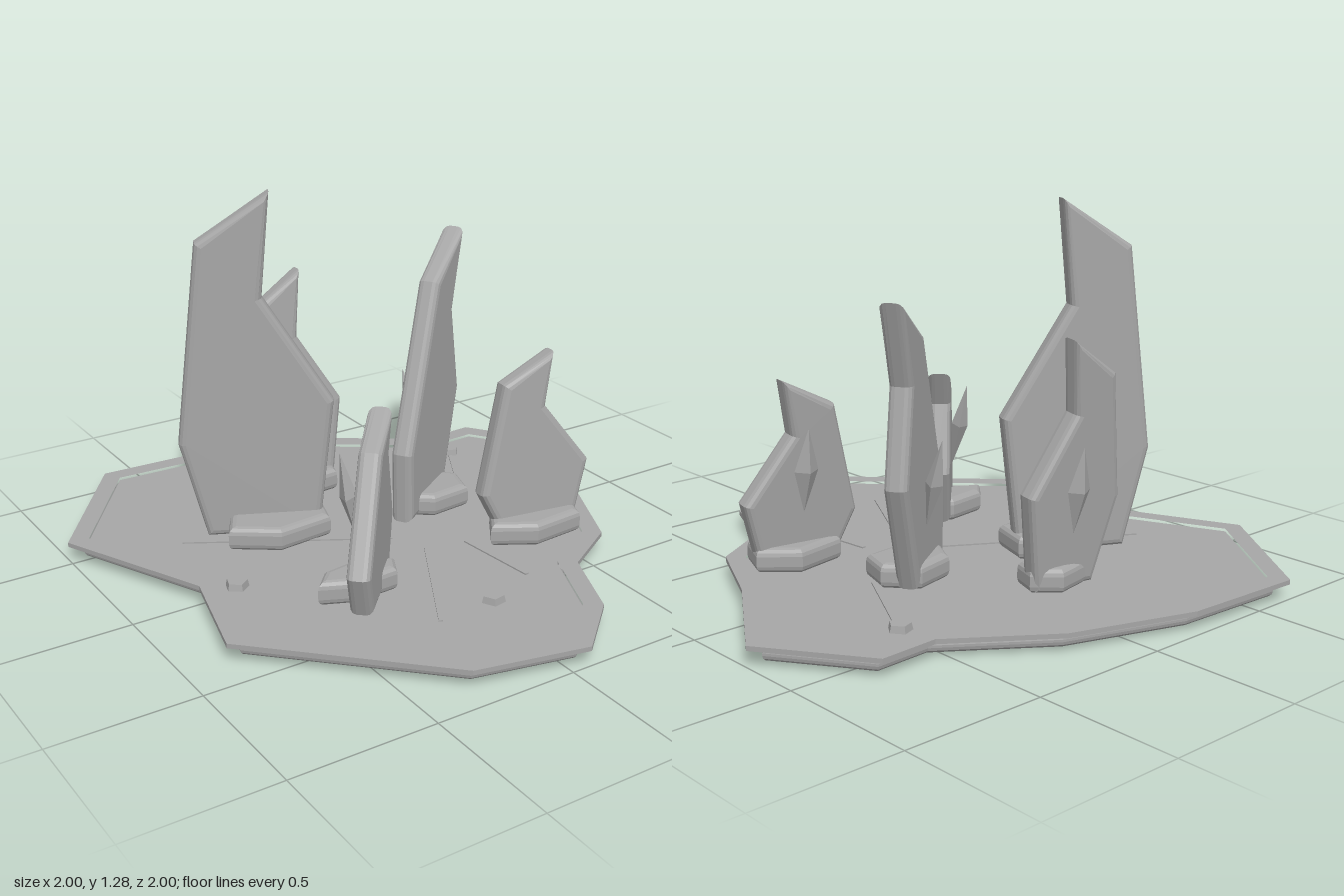
import * as THREE from 'three';

const stone = new THREE.MeshStandardMaterial({ color: 0xa6a6a6 });
stone.name = 'grey stone';

// Ground plan as x, z corners
const SHORE = [[-0.66, -1], [-0.21, -0.98], [0.22, -0.84], [0.55, -0.61], [0.76, -0.62], [1, -0.28], [0.74, 0.12],
  [0.6, 0.42], [0.385, 0.55], [0.27, 0.82], [0.07, 1], [-0.315, 0.915], [-0.855, 0.375], [-0.76, 0], [-1, -0.53]]
  .map(([x, z]) => new THREE.Vector2(x, -z));

// Moves every edge of a clockwise outline inwards by d
function inset(points, d) {
  const n = points.length;
  return points.map((p, i) => {
    const a = p.clone().sub(points[(i + n - 1) % n]).normalize();
    const b = points[(i + 1) % n].clone().sub(p).normalize();
    const normal = new THREE.Vector2(a.y + b.y, -a.x - b.x);
    return p.clone().addScaledVector(normal, d / (1 + a.dot(b)));
  });
}

function mesh(name, geometry) {
  const m = new THREE.Mesh(geometry, stone);
  m.name = name;
  return m;
}

// Extrusion with a rounded edge that stays inside the outline
function extrude(shape, depth, bevel) {
  return new THREE.ExtrudeGeometry(shape, {
    depth: depth - 2 * bevel, bevelEnabled: bevel > 0, bevelThickness: bevel,
    bevelSize: bevel, bevelOffset: -bevel, bevelSegments: 3,
  }).translate(0, 0, bevel);
}

// Flat slab lying between heights y0 and y1
function slab(name, outline, y0, y1, bevel = 0, hole = null) {
  const shape = new THREE.Shape(outline);
  if (hole) shape.holes.push(new THREE.Path(hole));
  return mesh(name, extrude(shape, y1 - y0, bevel).rotateX(-Math.PI / 2).translate(0, y0, 0));
}

// Rough hexagonal stone at the foot of a shard
function footRock(x, z, rx, rz) {
  const outline = [];
  for (let i = 0; i < 6; i++) {
    const a = (i * Math.PI) / 3 + 0.2;
    const r = i % 2 ? 1.08 : 0.98;
    outline.push(new THREE.Vector2(x + rx * r * Math.cos(a), -z + rz * r * Math.sin(a)));
  }
  return slab('footRock', outline, 0.055, 0.14, 0.025);
}

// Standing blade: outline is its frontal projection, slope is dz/dx of its plane
function shard(name, x, z, slope, tilt, spikeOut, outline) {
  const group = new THREE.Group();
  group.name = name;
  const angle = -Math.atan(slope);
  const thick = 0.08;
  const trim = thick * 0.35 * Math.abs(Math.sin(angle));
  const local = outline.map(([px, py]) => {
    const d = px - x;
    const cut = Math.sign(d) * Math.min(trim, Math.abs(d));
    return new THREE.Vector2((d - cut) / Math.cos(angle), py);
  });
  group.add(mesh('blade', extrude(new THREE.Shape(local), thick, 0.024).translate(0, 0, -thick / 2)));

  // Splinter leaning out of the back face
  const splinter = mesh('splinter', new THREE.OctahedronGeometry(1).scale(0.045, 0.15, 0.03));
  splinter.position.set(0, 0.4, -thick / 2 - spikeOut / 2);
  splinter.rotation.x = -spikeOut * 3;
  group.add(splinter);

  group.position.set(x, 0, z);
  group.rotation.set(tilt, angle, 0);
  return group;
}

function groundCrack(x1, z1, x2, z2) {
  const strip = mesh('groundCrack', new THREE.BoxGeometry(Math.hypot(x2 - x1, z2 - z1), 0.006, 0.014));
  strip.position.set((x1 + x2) / 2, 0.06, (z1 + z2) / 2);
  strip.rotation.y = -Math.atan2(z2 - z1, x2 - x1);
  return strip;
}

function pebble(x, z, turn) {
  const m = mesh('pebble', new THREE.CylinderGeometry(0.036, 0.042, 0.026, 5).toNonIndexed());
  m.geometry.computeVertexNormals();
  m.position.set(x, 0.068, z);
  m.rotation.y = turn;
  return m;
}

export function createModel() {
  const model = new THREE.Group();
  model.name = 'shardIsland';

  // Ground: rounded underside, raised rim and sunken floor
  const floorEdge = inset(SHORE, 0.065);
  model.add(
    slab('groundBase', inset(SHORE, 0.048), 0, 0.048, 0.02),
    slab('groundRim', SHORE, 0.052, 0.068, 0, floorEdge),
    slab('groundFloor', floorEdge, 0.04, 0.058),
  );

  // Shards
  model.add(shard('tallShard', -0.385, -0.275, 0.47, 0, 0.02,
    [[-0.56, 0.06], [-0.64, 0.41], [-0.565, 1.12], [-0.315, 1.285], [-0.345, 0.925], [-0.13, 0.545], [-0.18, 0.06]]));
  model.add(shard('rightShard', 0.265, -0.18, -0.66, 0, 0.06,
    [[0.05, 0.06], [0.045, 0.32], [0.25, 0.89], [0.485, 1.03], [0.405, 0.75], [0.46, 0.43], [0.34, 0.06]]));
  model.add(shard('backShard', -0.09, -0.5, 0.13, -0.09, 0.02,
    [[-0.2, 0.06], [-0.28, 0.35], [-0.22, 0.775], [-0.04, 0.895], [-0.065, 0.65], [0.09, 0.39], [0.04, 0.06]]));
  model.add(shard('frontRightShard', 0.425, 0.25, 0.16, -0.07, 0.02,
    [[0.295, 0.06], [0.215, 0.23], [0.31, 0.615], [0.51, 0.71], [0.475, 0.52], [0.64, 0.295], [0.575, 0.06]]));
  model.add(shard('frontLeftShard', -0.305, 0.33, -1.06, 0, 0.06,
    [[-0.43, 0.06], [-0.47, 0.21], [-0.32, 0.555], [-0.15, 0.635], [-0.19, 0.51], [-0.14, 0.265], [-0.2, 0.06]]));

  // Stones around the shard feet
  model.add(
    footRock(-0.34, -0.22, 0.2, 0.15),
    footRock(0.24, -0.13, 0.15, 0.12),
    footRock(-0.07, -0.49, 0.13, 0.09),
    footRock(0.42, 0.255, 0.19, 0.12),
    footRock(-0.33, 0.3, 0.155, 0.075),
  );

  // Ground details
  model.add(
    groundCrack(-0.22, 0.61, 0.03, 0.16),
    groundCrack(0.2, 0.51, 0.17, 0.2),
    groundCrack(-0.66, -0.33, -0.03, 0.04),
    groundCrack(0.55, -0.43, 0.37, -0.1),
    pebble(-0.65, 0.055, 0),
    pebble(0, 0.59, 0.8),
    pebble(0.565, -0.465, 1.6),
  );
  return model;
}
